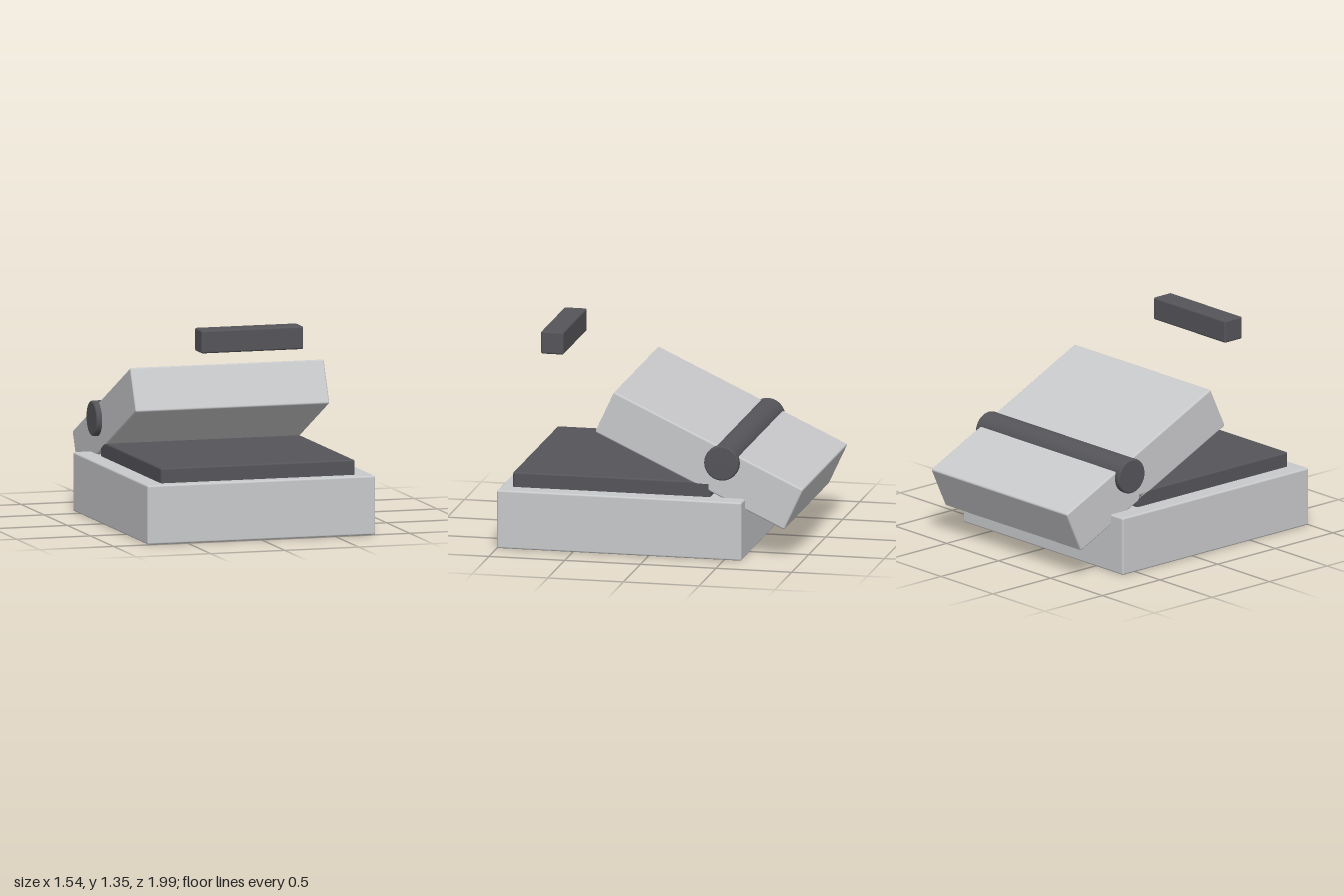
import * as THREE from 'three';
import { RoundedBoxGeometry } from 'three/addons/geometries/RoundedBoxGeometry.js';

const lightGrey = new THREE.MeshStandardMaterial({ color: 0xc8c9cb });
lightGrey.name = 'lightGrey';
const darkGrey = new THREE.MeshStandardMaterial({ color: 0x555459 });
darkGrey.name = 'darkGrey';

export function createModel() {
  const group = new THREE.Group();

  const add = (name, geometry, material, y, z) => {
    const mesh = new THREE.Mesh(geometry, material);
    mesh.name = name;
    mesh.position.set(0, y, z);
    group.add(mesh);
    return mesh;
  };
  const block = (name, [w, h, d], material, y, z) =>
    add(name, new RoundedBoxGeometry(w, h, d, 3, 0.012), material, y, z);

  // Body and the dark plate resting on it
  block('base', [1.54, 0.385, 1.615], lightGrey, 0.1925, 0.1925);
  block('plate', [1.31, 0.15, 1.305], darkGrey, 0.408, 0.2675);

  // Lid tilted open, front edge raised
  const lid = block('lid', [1.31, 0.3, 1.38], lightGrey, 0.62, -0.31);
  lid.rotation.x = -THREE.MathUtils.degToRad(25);

  // Hinge barrel with rounded rims
  const r = 0.115, half = 0.692, b = 0.012;
  const profile = [new THREE.Vector2(0, -half)];
  for (const end of [-1, 1]) {
    for (let i = 0; i <= 4; i++) {
      const a = (end < 0 ? i - 4 : i) * Math.PI / 8;
      profile.push(new THREE.Vector2(r - b + b * Math.cos(a), end * (half - b) + b * Math.sin(a)));
    }
  }
  profile.push(new THREE.Vector2(0, half));
  const barrel = new THREE.LatheGeometry(profile, 48).rotateZ(Math.PI / 2);
  add('hingeBarrel', barrel, darkGrey, 0.62, -0.465);

  // Handle bar floating in front of the lid
  block('handle', [0.69, 0.15, 0.15], darkGrey, 1.275, 0.73);

  return group;
}
